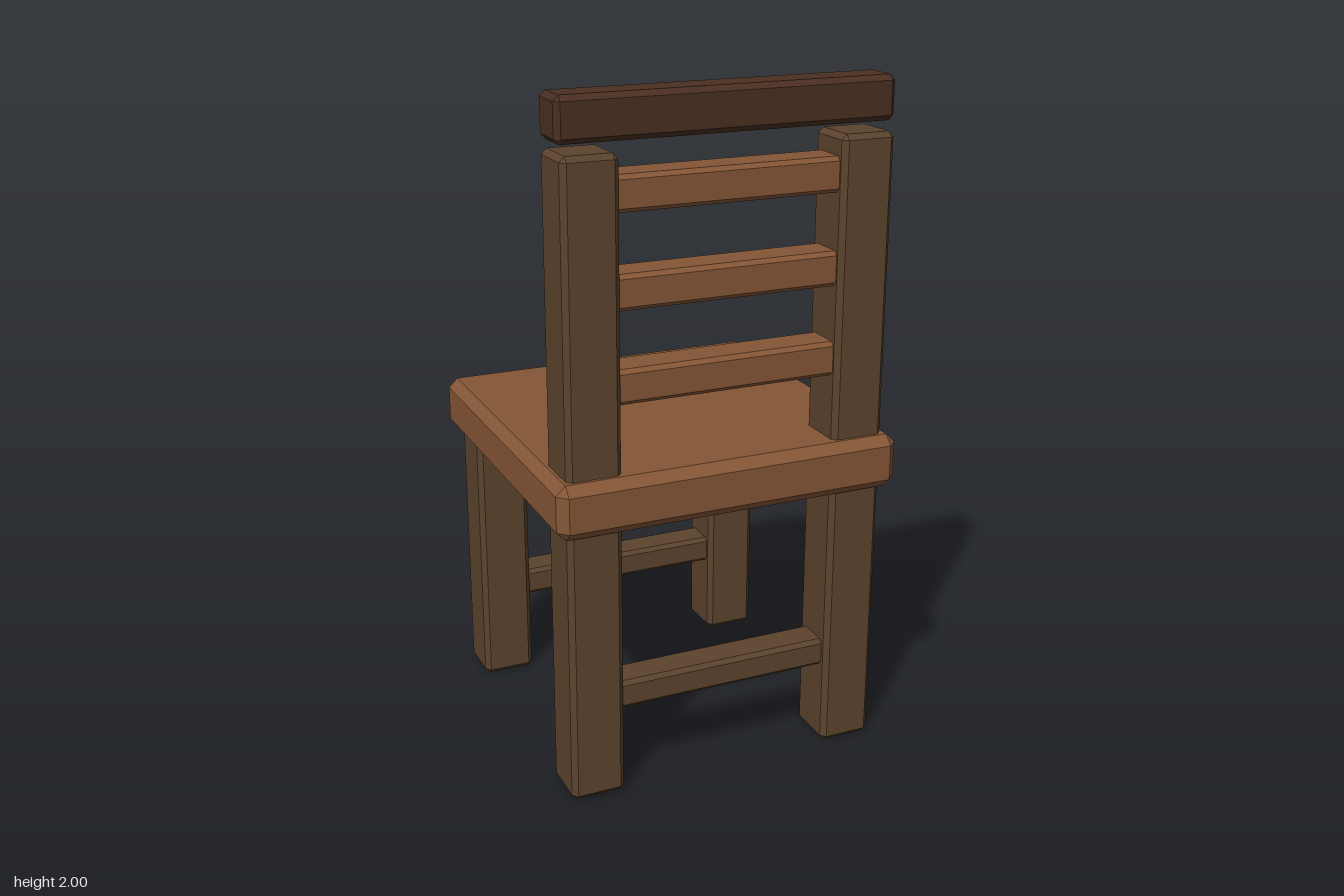
import * as THREE from 'three';
import { ConvexGeometry } from 'three/addons/geometries/ConvexGeometry.js';

const seatWood = new THREE.MeshStandardMaterial({ color: 0x855636, flatShading: true });
const legWood = new THREE.MeshStandardMaterial({ color: 0x5c432d, flatShading: true });
const darkWood = new THREE.MeshStandardMaterial({ color: 0x4a2f20, flatShading: true });

// Box with every edge chamfered by c: three corner points per box corner
function chamferBox(w, h, d, c) {
  const points = [];
  for (const sx of [-1, 1]) for (const sy of [-1, 1]) for (const sz of [-1, 1]) {
    const x = w / 2, y = h / 2, z = d / 2;
    points.push(
      new THREE.Vector3(sx * x, sy * (y - c), sz * (z - c)),
      new THREE.Vector3(sx * (x - c), sy * y, sz * (z - c)),
      new THREE.Vector3(sx * (x - c), sy * (y - c), sz * z));
  }
  return new ConvexGeometry(points);
}

export function createModel() {
  const group = new THREE.Group();

  // Adds a beam given its size, centre, chamfer and material
  const add = (name, [w, h, d], [x, y, z], chamfer, material) => {
    const mesh = new THREE.Mesh(chamferBox(w, h, d, chamfer), material);
    mesh.name = name;
    mesh.position.set(x, y, z);
    group.add(mesh);
  };

  // Seat
  add('seat', [1.04, 0.16, 1.04], [0, 0.9, 0], 0.028, seatWood);

  // Tall posts on the +z side, short legs on the -z side
  for (const [side, x] of [['left', 0.403], ['right', -0.403]]) {
    add(side + 'BackPost', [0.16, 1.85, 0.16], [x, 0.925, 0.403], 0.015, legWood);
    add(side + 'ShortLeg', [0.16, 0.88, 0.16], [x, 0.44, -0.403], 0.015, legWood);
  }

  // Low stretchers between the legs
  for (const [name, z] of [['backStretcher', 0.403], ['legStretcher', -0.403]]) {
    add(name, [0.72, 0.085, 0.11], [0, 0.293, z], 0.012, legWood);
  }

  // Backrest slats
  [1.218, 1.478, 1.74].forEach((y, i) =>
    add('backSlat' + (i + 1), [0.72, 0.1, 0.12], [0, y, 0.403], 0.012, seatWood));

  // Top rail, held just clear of the posts
  add('topRail', [0.98, 0.124, 0.126], [0, 1.938, 0.403], 0.015, darkWood);

  return group;
}
